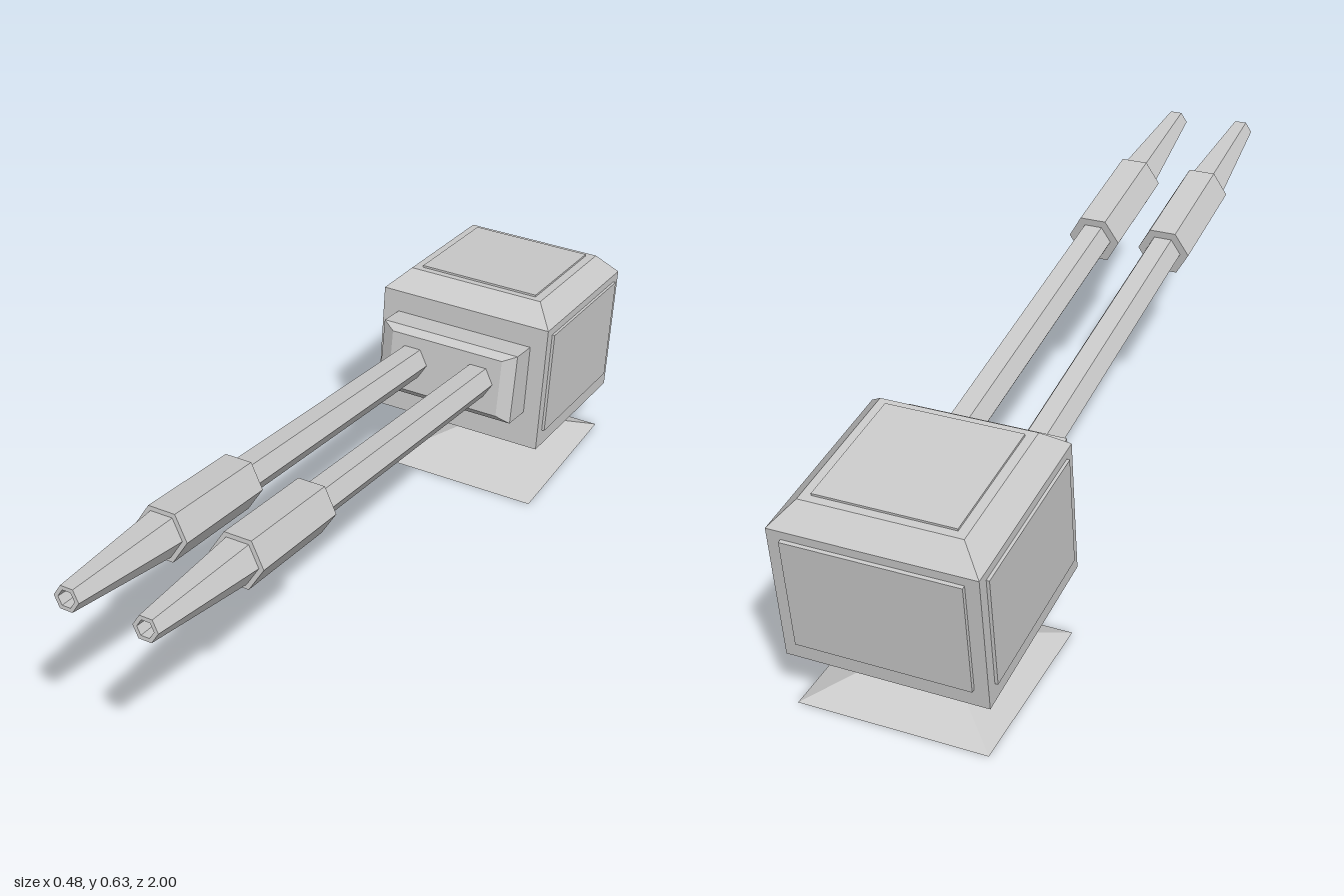
import * as THREE from 'three';

const material = new THREE.MeshStandardMaterial({ color: 0xcccccc, flatShading: true, side: THREE.DoubleSide });

// Faceted solid from a [radius, height] profile
function turned(profile, sides, phiStart) {
  const points = profile.map(([r, y]) => new THREE.Vector2(r, y));
  return new THREE.LatheGeometry(points, sides, phiStart);
}

// Four-sided solid from [halfWidth, height] steps
function square(profile) {
  return turned(profile.map(([w, y]) => [w * Math.SQRT2, y]), 4, Math.PI / 4);
}

function add(parent, name, geometry, x = 0, y = 0, z = 0) {
  const mesh = new THREE.Mesh(geometry, material);
  mesh.name = name;
  mesh.position.set(x, y, z);
  parent.add(mesh);
  return mesh;
}

export function createModel() {
  const model = new THREE.Group();
  model.name = 'gunTurret';

  // Hollow flared foot and square neck
  add(model, 'pedestal', square([[0.221, 0], [0.067, 0.066], [0.067, 0.135]]), 0, 0, -0.727);

  // Housing, tilted slightly upward
  const head = new THREE.Group();
  head.name = 'head';
  head.position.set(0, 0.324, -0.747);
  head.rotation.x = -0.1;
  model.add(head);
  const hull = square([
    [0, -0.207], [0.067, -0.207], [0.232, -0.168],
    [0.232, 0.168], [0.182, 0.218], [0, 0.218],
  ]);
  hull.scale(1, 1, 0.985);
  add(head, 'hull', hull);

  // Raised cover plates
  for (const side of [-1, 1]) {
    add(head, side > 0 ? 'leftPanel' : 'rightPanel', new THREE.BoxGeometry(0.02, 0.272, 0.4), side * 0.229, 0.012, 0);
  }
  add(head, 'backPanel', new THREE.BoxGeometry(0.4, 0.272, 0.02), 0, 0.012, -0.228);
  add(head, 'roofPanel', new THREE.BoxGeometry(0.32, 0.02, 0.32), 0, 0.213, 0);

  // Gun mount, pitched a little more than the housing
  const guns = new THREE.Group();
  guns.name = 'guns';
  guns.position.set(0, 0.387, -0.43);
  guns.rotation.x = -0.1525;
  model.add(guns);

  // Bevelled mantlet
  const mantlet = square([[0, -0.12], [1, -0.12], [1, -0.013], [0.82, 0.003], [0, 0.003]]);
  mantlet.rotateX(Math.PI / 2);
  mantlet.scale(0.188, 0.092, 1);
  add(guns, 'mantlet', mantlet, 0, -0.006, 0);

  // Hexagonal barrels with a thick sleeve, tapered muzzle and recessed bore
  const length = 1.447;
  const barrel = turned([
    [0, -0.03], [0.0445, -0.03], [0.0445, 0.83], [0.066, 0.83],
    [0.066, 1.126], [0.054, 1.126], [0.03, length], [0.02, length],
    [0.018, length - 0.05], [0, length - 0.05],
  ], 6, Math.PI / 6);
  barrel.rotateX(Math.PI / 2);
  add(guns, 'rightBarrel', barrel, -0.095);
  add(guns, 'leftBarrel', barrel, 0.091);

  return model;
}
